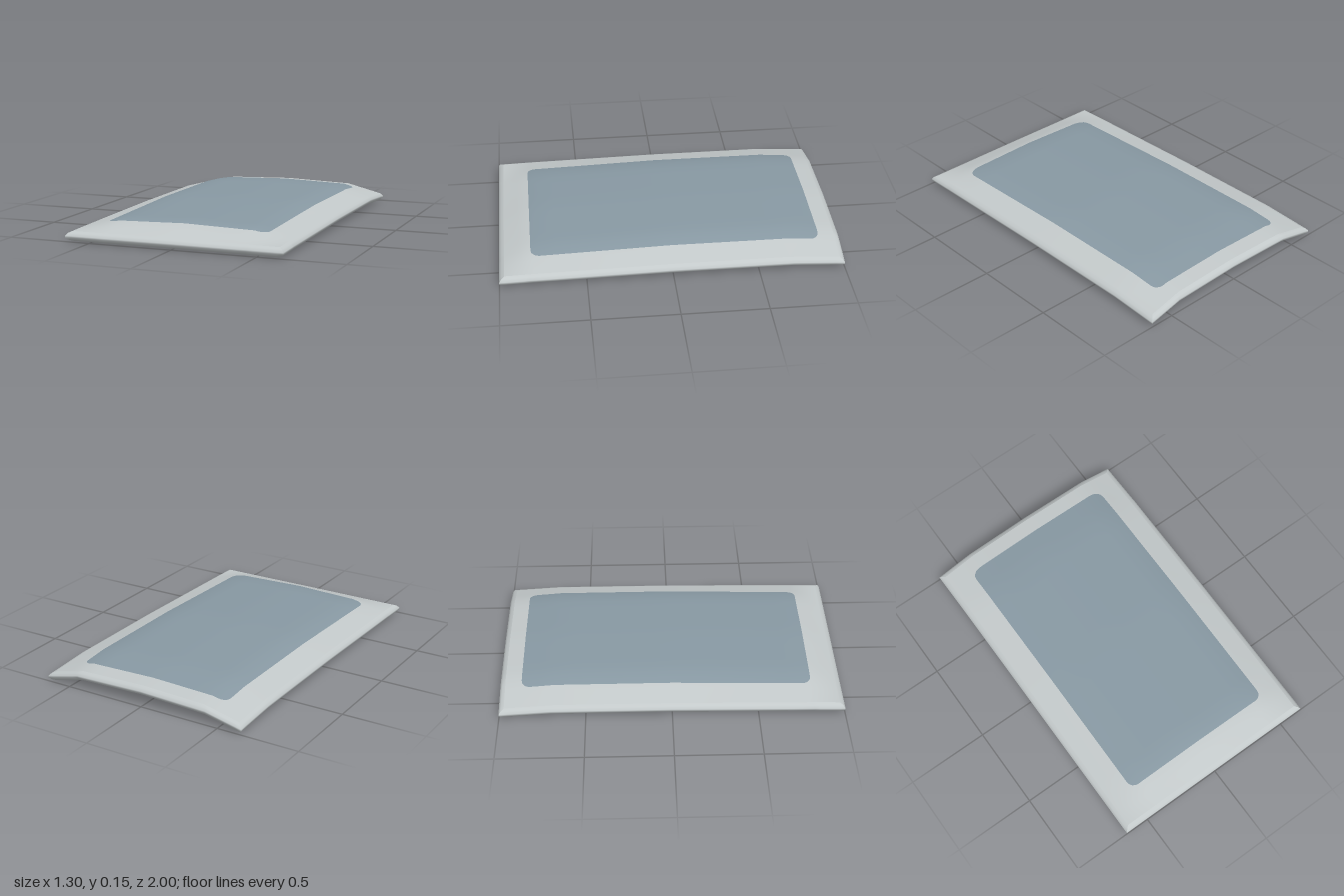
import * as THREE from 'three';

// Heights of the curved upper skin, at section lines across (x) and along (z)
const XS = [-0.62, -0.4, 0, 0.42, 0.62];
const ZS = [-0.97, -0.68, 0, 0.8, 0.97];
const HEIGHTS = [
  [0.062, 0.112, 0.125, 0.112, 0.062],
  [0.08, 0.138, 0.148, 0.138, 0.08],
  [0.08, 0.14, 0.15, 0.14, 0.08],
  [0.068, 0.114, 0.126, 0.114, 0.068],
  [0.064, 0.064, 0.065, 0.064, 0.064],
];
const THICKNESS = 0.056;
const RIM = 0.03;

function locate(list, v) {
  let i = 0;
  while (i < list.length - 2 && v > list[i + 1]) i++;
  const t = (v - list[i]) / (list[i + 1] - list[i]);
  return [i, THREE.MathUtils.clamp(t, 0, 1)];
}

function height(x, z) {
  const [i, s] = locate(XS, x);
  const [j, t] = locate(ZS, z);
  const row = (r) => THREE.MathUtils.lerp(HEIGHTS[r][i], HEIGHTS[r][i + 1], s);
  return THREE.MathUtils.lerp(row(j), row(j + 1), t);
}

// Softened skin normal, so the broad facets shade as one smooth surface
function skinNormal(x, z) {
  const h = 0.09;
  const slope = (a, b, c, d) => (height(a, b) - height(c, d)) / (Math.abs(a - c) + Math.abs(b - d));
  const x0 = Math.max(x - h, -0.62), x1 = Math.min(x + h, 0.62);
  const z0 = Math.max(z - h, -0.97), z1 = Math.min(z + h, 0.97);
  return new THREE.Vector3(-slope(x1, z, x0, z), 1, -slope(x, z1, x, z0)).normalize();
}

// Splits every span of a list into n steps
function divide(list, n) {
  const out = [];
  for (let i = 0; i < list.length - 1; i++) {
    for (let k = 0; k < n; k++) out.push(THREE.MathUtils.lerp(list[i], list[i + 1], k / n));
  }
  return [...out, list[list.length - 1]];
}

// Grid of quads through rows of points; flip reverses the facing
function sheet(rows, flip = false) {
  const w = rows[0].length;
  const index = [];
  for (let r = 0; r < rows.length - 1; r++) {
    for (let c = 0; c < w - 1; c++) {
      const a = r * w + c, b = a + 1, d = a + w, e = d + 1;
      index.push(...(flip ? [a, b, d, b, e, d] : [a, d, b, b, d, e]));
    }
  }
  const geometry = new THREE.BufferGeometry().setFromPoints(rows.flat());
  geometry.setIndex(index);
  geometry.computeVertexNormals();
  return geometry;
}

function softenNormals(geometry, sign) {
  const { position, normal } = geometry.attributes;
  for (let i = 0; i < position.count; i++) {
    const n = skinNormal(position.getX(i), position.getZ(i)).multiplyScalar(sign);
    normal.setXYZ(i, n.x, n.y, n.z);
  }
  return geometry;
}

export function createModel() {
  const group = new THREE.Group();
  const shellGrey = new THREE.MeshStandardMaterial({ color: 0xc3c9ca });
  shellGrey.name = 'shellGrey';
  const panelBlue = new THREE.MeshStandardMaterial({ color: 0x8899a3 });
  panelBlue.name = 'panelBlue';
  const add = (name, geometry, material) => {
    const mesh = new THREE.Mesh(geometry, material);
    mesh.name = name;
    group.add(mesh);
  };

  const cols = divide(XS, 6);
  const rows = divide(ZS, 6);

  // Upper and lower skins
  const skin = (drop) => rows.map((z) => cols.map((x) => new THREE.Vector3(x, height(x, z) - drop, z)));
  add('upperSkin', softenNormals(sheet(skin(0)), 1), shellGrey);
  add('lowerSkin', softenNormals(sheet(skin(THICKNESS), true), -1), shellGrey);

  // Rounded rim: bevelled strip along each of the four edges
  const profile = [[0, 0], [0.6, 0.16], [1, 0.42], [1, 0.6], [0.6, 0.85], [0, 1]];
  const rim = (edge, flip) => sheet(profile.map(([out, drop]) => edge.map(([x, z]) => new THREE.Vector3(
    x * (1 + out * RIM / 0.62),
    height(x, z) - drop * THICKNESS,
    z * (1 + out * RIM / 0.97),
  ))), flip);
  add('frontRim', rim(cols.map((x) => [x, 0.97]), false), shellGrey);
  add('backRim', rim(cols.map((x) => [x, -0.97]), true), shellGrey);
  add('leftRim', rim(rows.map((z) => [0.62, z]), true), shellGrey);
  add('rightRim', rim(rows.map((z) => [-0.62, z]), false), shellGrey);

  // Blue inset panel with rounded corners, following the upper skin
  const back = -0.875, front = 0.815, radius = 0.05;
  const arc = [0, 0.08, 0.3, 0.6, 1].map((t) => t * radius);
  const panelZ = [
    ...arc.map((d) => back + d),
    ...rows.filter((z) => z > back + radius && z < front - radius),
    ...arc.map((d) => front - d).reverse(),
  ];
  const panelRows = panelZ.map((z) => {
    const d = Math.max(0, radius - Math.min(z - back, front - z));
    const inset = radius - Math.sqrt(Math.max(0, radius * radius - d * d));
    const line = divide([-0.48 + inset, -0.4, 0, 0.42, 0.49 - inset], 6);
    return line.map((x) => new THREE.Vector3(x, height(x, z) + 0.0025, z));
  });
  add('inset panel', softenNormals(sheet(panelRows), 1), panelBlue);

  return group;
}
